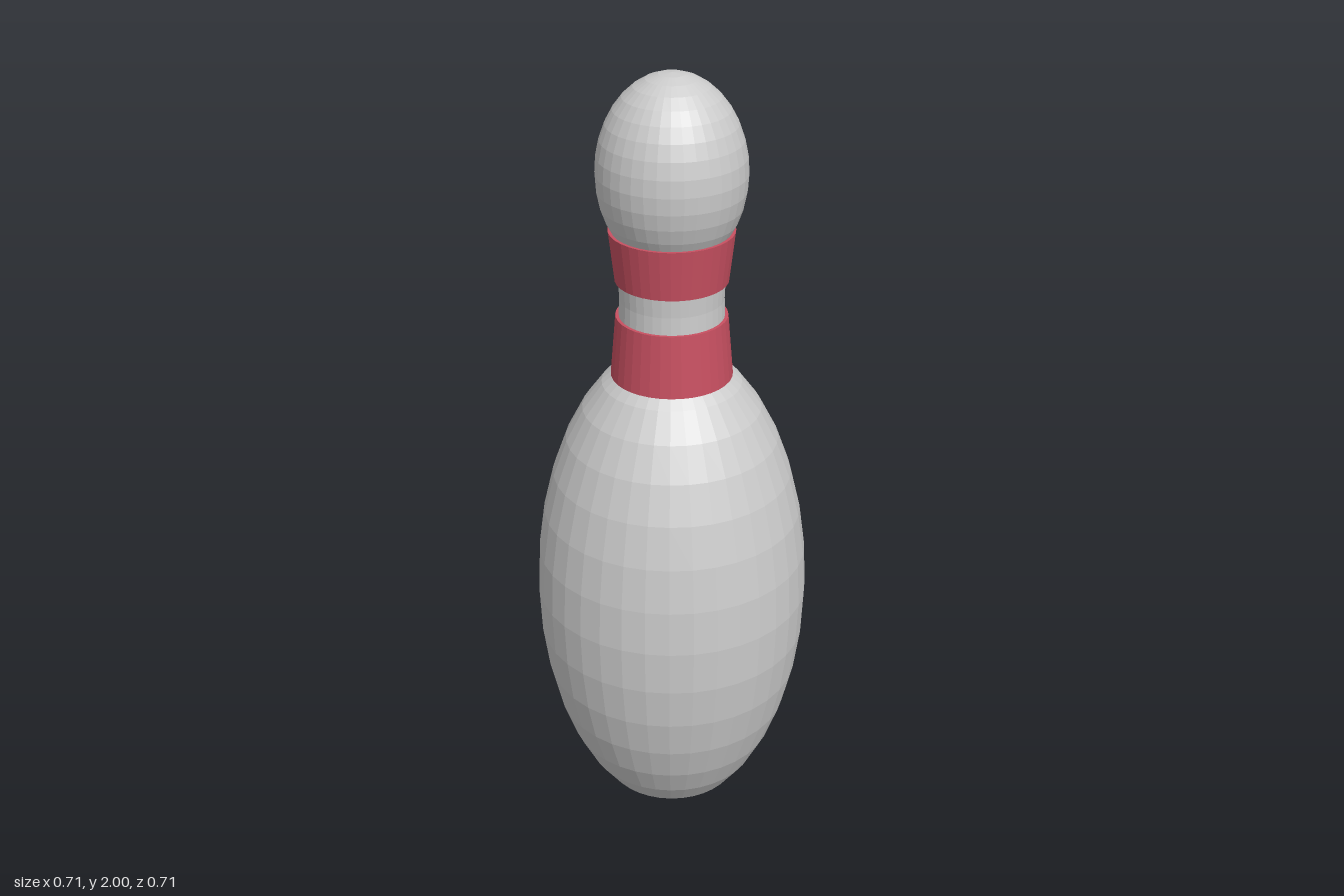
import * as THREE from 'three';

const SIDES = 36;
const grey = new THREE.MeshStandardMaterial({ color: 0xcccccc, flatShading: true });
const red = new THREE.MeshStandardMaterial({ color: 0xc85061, flatShading: true });

// Points of an upright ellipse, bottom to top, in 10 degree steps
function ellipse(radius, halfHeight, centreY, fromDeg) {
  const points = [];
  for (let deg = fromDeg; deg <= 90; deg += 10) {
    const a = THREE.MathUtils.degToRad(deg);
    points.push([Math.max(0, radius * Math.cos(a)), centreY + halfHeight * Math.sin(a)]);
  }
  return points;
}

// Turned part from [radius, height] pairs
function turned(name, profile, material) {
  const points = profile.map(([r, y]) => new THREE.Vector2(r, y));
  const mesh = new THREE.Mesh(new THREE.LatheGeometry(points, SIDES), material);
  mesh.name = name;
  return mesh;
}

export function createModel() {
  const pin = new THREE.Group();
  pin.name = 'bowlingPin';

  // Egg-shaped body, cut flat at the base
  pin.add(turned('body', [[0, 0], ...ellipse(0.357, 0.694, 0.601, -60)], grey));

  // Waisted neck running up into the head
  pin.add(turned('neck', [
    [0.148, 1.2], [0.143, 1.26], [0.138, 1.32], [0.133, 1.38],
    [0.131, 1.43], [0.133, 1.48], [0.139, 1.55], [0.147, 1.62],
  ], grey));

  // Head
  pin.add(turned('head', ellipse(0.186, 0.245, 1.755, -90), grey));

  // Raised red bands around the neck, with closed rims
  const bands = [
    ['lowerBand', 1.22, 0.155, 1.385, 0.141],
    ['upperBand', 1.48, 0.142, 1.61, 0.157],
  ];
  for (const [name, y0, r0, y1, r1] of bands) {
    pin.add(turned(name, [[0.12, y0], [r0, y0], [r1, y1], [0.12, y1]], red));
  }
  return pin;
}
